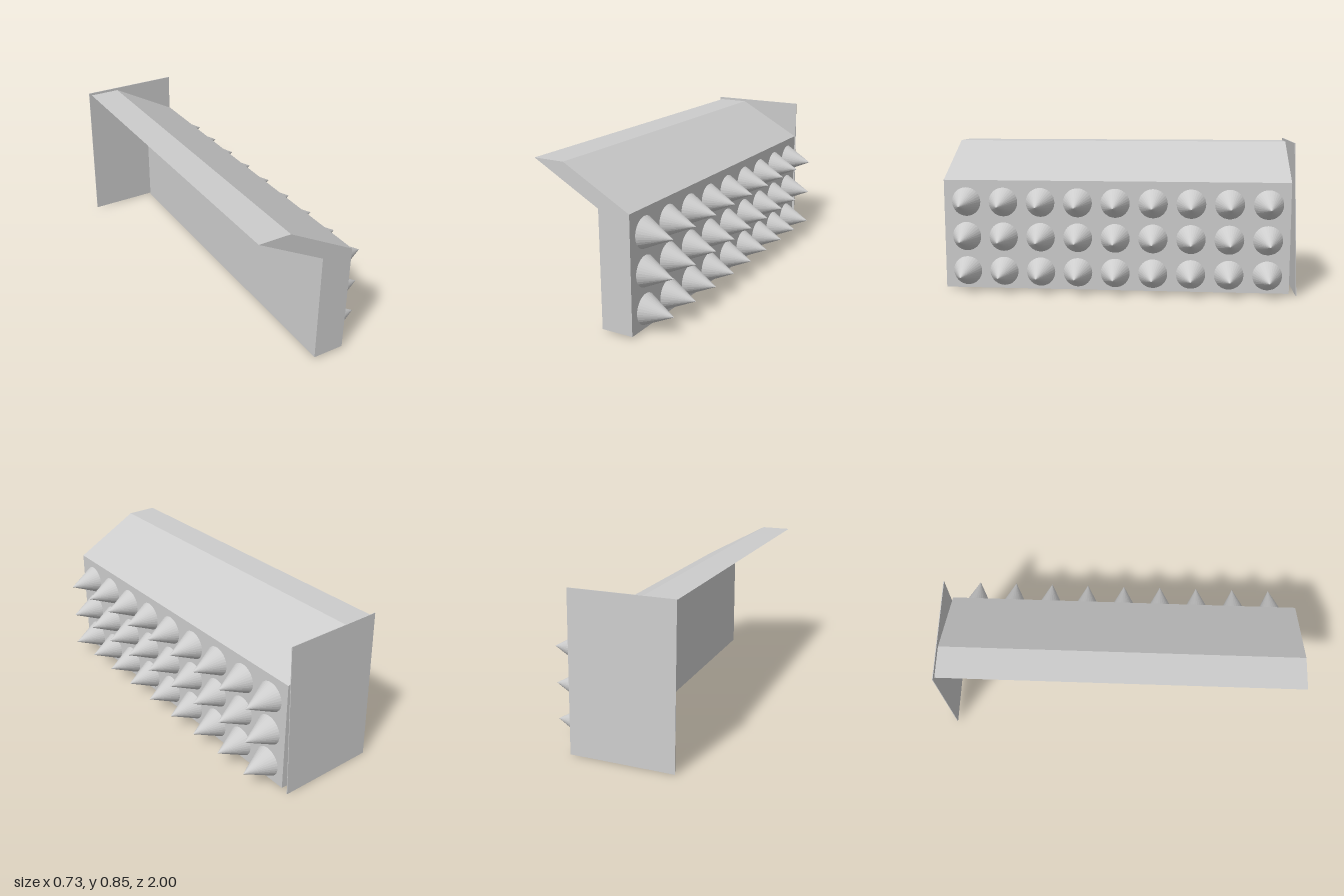
import * as THREE from 'three';

export function createModel() {
  const root = new THREE.Group();
  const grey = new THREE.MeshStandardMaterial({ color: 0xcccccc });
  grey.name = 'plain grey';
  grey.flatShading = true;

  const add = (name, geometry, parent = root) => {
    const mesh = new THREE.Mesh(geometry, grey);
    mesh.name = name;
    parent.add(mesh);
    return mesh;
  };

  // Upright wall with a slanted overhang, extruded along its length
  const profile = new THREE.Shape([
    [0.023, 0.013], [0.2, 0.013], [0.2, 0.637],
    [-0.175, 0.842], [-0.35, 0.842], [0.023, 0.638],
  ].map(([x, y]) => new THREE.Vector2(x, y)));
  const wall = add('wallWithOverhang',
    new THREE.ExtrudeGeometry(profile, { depth: 1.957, bevelEnabled: false }));
  wall.position.z = -0.957;

  // Spikes: three rows of nine, tips drooping slightly
  const spikes = new THREE.Group();
  spikes.name = 'spikes';
  root.add(spikes);
  const length = 0.162, radius = 0.083;
  const cone = new THREE.ConeGeometry(radius, length, 32);
  cone.rotateZ(-Math.PI / 2);
  cone.translate(length / 2, 0, 0);
  const p = cone.attributes.position;
  for (let i = 0; i < p.count; i++) {
    p.setY(i, p.getY(i) - 0.01 * p.getX(i) / length);
  }
  cone.computeVertexNormals();
  for (let row = 0; row < 3; row++) {
    for (let col = 0; col < 9; col++) {
      add('spike', cone, spikes)
        .position.set(0.199, 0.113 + row * 0.2, 0.873 - col * 0.2135);
    }
  }

  // Thin end panel, leaning slightly toward the wall
  const panel = add('endPanel', new THREE.BoxGeometry(0.566, 0.855, 0.004));
  panel.position.set(-0.082, 0.428, -0.98);
  panel.rotation.set(0.038, 0.004, 0);

  return root;
}
